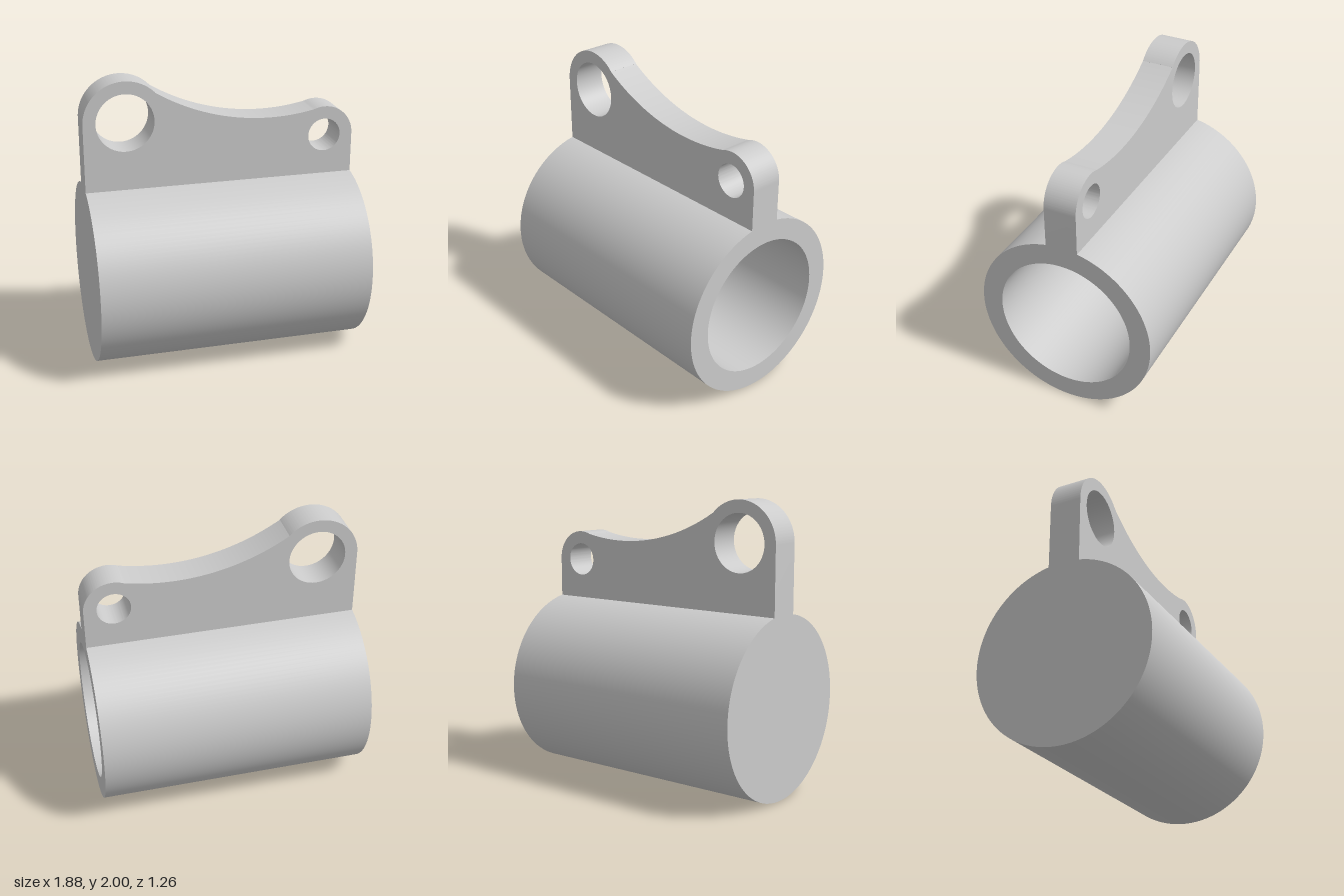
import * as THREE from 'three';
import { toCreasedNormals } from 'three/addons/utils/BufferGeometryUtils.js';

const HALF = 0.94;      // half length along x
const R = 0.63;         // outer radius of the barrel
const BORE = 0.483;     // bore radius
const FLOOR = 0.147;    // thickness of the closed end
const PLATE = 0.226;    // plate thickness

const big = { x: -0.657, y: 1.717, r: 0.283, hole: 0.197 };
const small = { x: 0.737, y: 1.53, r: 0.203, hole: 0.115 };
const dip = { x: 0.34, y: 3.172, r: 1.489 };   // circle of the concave top edge

function part(name, geometry, material) {
  const mesh = new THREE.Mesh(toCreasedNormals(geometry, 0.2), material);
  mesh.name = name;
  return mesh;
}

// Angle at which a point lies as seen from a circle's centre
const angleTo = (c, x, y) => Math.atan2(y - c.y, x - c.x);

export function createModel() {
  const group = new THREE.Group();
  group.name = 'mountingSleeve';
  const material = new THREE.MeshStandardMaterial({ color: 0xcccccc });

  // Barrel: blind bore, open towards +x
  const profile = [
    [0, -HALF], [R, -HALF], [R, HALF], [BORE, HALF], [BORE, -HALF + FLOOR], [0, -HALF + FLOOR],
  ].map(([x, y]) => new THREE.Vector2(x, y));
  const barrel = new THREE.LatheGeometry(profile, 128);
  barrel.rotateZ(-Math.PI / 2);
  barrel.translate(0, R, 0);
  group.add(part('barrel', barrel, material));

  // Plate: two rounded lugs joined by a concave edge, its foot sunk in the barrel wall
  const foot = 1.24;
  const left = [-0.455, 1.912], right = [0.66, 1.718];
  const outline = new THREE.Shape();
  outline.moveTo(-HALF, foot);
  outline.lineTo(HALF, foot);
  outline.absarc(small.x, small.y, small.r, 0, angleTo(small, ...right), false);
  outline.absarc(dip.x, dip.y, dip.r, angleTo(dip, ...right), angleTo(dip, ...left), true);
  outline.absarc(big.x, big.y, big.r, angleTo(big, ...left), Math.PI, false);
  outline.closePath();

  // Lug holes
  for (const lug of [big, small]) {
    outline.holes.push(new THREE.Path().absarc(lug.x, lug.y, lug.hole, 0, Math.PI * 2, true));
  }

  const plate = new THREE.ExtrudeGeometry(outline, { depth: PLATE, bevelEnabled: false, curveSegments: 48 });
  plate.translate(0, 0, -PLATE / 2);
  group.add(part('lugPlate', plate, material));

  return group;
}
